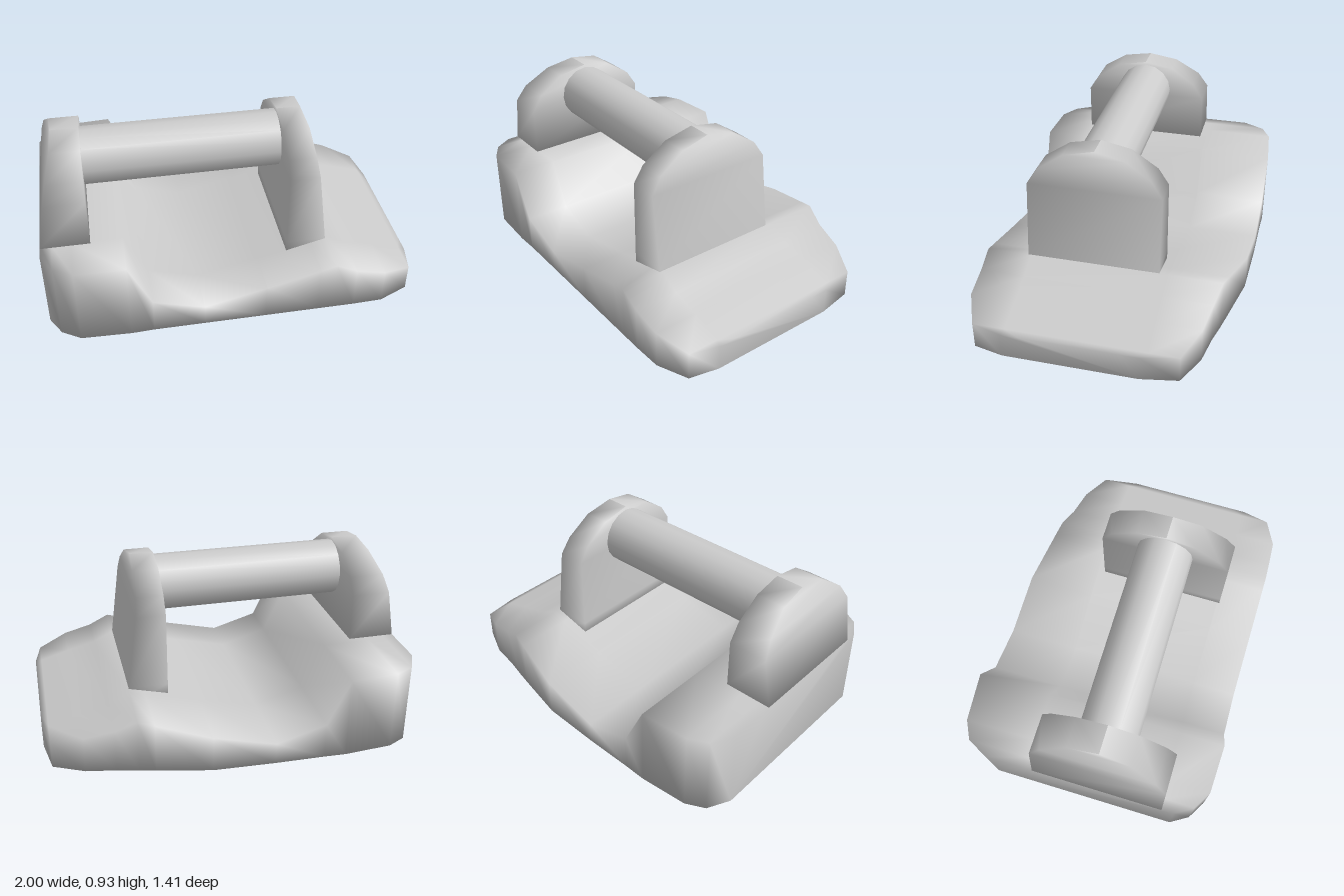
import * as THREE from 'three';

const material = new THREE.MeshStandardMaterial({ color: 0xcccccc });

// Skin a list of closed rings into one smooth, capped solid
function loft(name, rings) {
  const n = rings[0].length, last = rings.length - 1;
  const pos = rings.flat(2), index = [];
  for (let s = 0; s < last; s++) {
    for (let i = 0; i < n; i++) {
      const a = s * n + i, b = s * n + (i + 1) % n;
      index.push(a, b, b + n, a, b + n, a + n);
    }
  }
  for (let i = 1; i < n - 1; i++) {
    index.push(0, i + 1, i);
    index.push(last * n, last * n + i, last * n + i + 1);
  }
  const g = new THREE.BufferGeometry();
  g.setAttribute('position', new THREE.Float32BufferAttribute(pos, 3));
  g.setIndex(index);
  g.computeVertexNormals();
  const mesh = new THREE.Mesh(g, material);
  mesh.name = name;
  return mesh;
}

// Upright support: rows of [y, inner/outer x low, x high, half depth]
function support(name, rows) {
  const zc = 0.103;
  return loft(name, rows.map(([y, x0, x1, w]) => [
    [x0, y, zc - w], [x0, y, zc + w], [x1, y, zc + w], [x1, y, zc - w],
  ]));
}

export function createModel() {
  const group = new THREE.Group();

  // Base slab: stations of [x, top height, back z, front z]
  const stations = [
    [-1, 0.45, -0.52, 0.53], [-0.94, 0.45, -0.64, 0.63], [-0.84, 0.45, -0.69, 0.69],
    [-0.575, 0.45, -0.71, 0.7], [-0.455, 0.2, -0.705, 0.695], [-0.185, 0.12, -0.7, 0.695],
    [0.15, 0.2, -0.685, 0.695], [0.44, 0.275, -0.62, 0.695], [0.525, 0.297, -0.6, 0.695],
    [0.64, 0.24, -0.57, 0.695], [0.8, 0.2, -0.54, 0.69], [0.965, 0.15, -0.46, 0.62],
    [1, 0.14, -0.26, 0.46],
  ];
  group.add(loft('base', stations.map(([x, h, z0, z1]) => [
    [x, 0, z0], [x, h, z0], [x, h, Math.max(z0 + 0.1, -0.3)],
    [x, h, Math.min(z1 - 0.1, 0.45)], [x, h, z1], [x, 0, z1],
  ])));

  // Two rounded supports with sloping outer faces
  group.add(support('rightSupport', [
    [0.45, -1, -0.742, 0.362], [0.715, -0.955, -0.742, 0.362], [0.803, -0.935, -0.742, 0.305],
    [0.898, -0.9, -0.742, 0.165], [0.928, -0.89, -0.742, 0],
  ]));
  group.add(support('leftSupport', [
    [0.2, 0.305, 0.522, 0.362], [0.3, 0.305, 0.52, 0.362], [0.715, 0.305, 0.465, 0.362],
    [0.803, 0.305, 0.455, 0.305], [0.898, 0.305, 0.446, 0.165], [0.932, 0.305, 0.435, 0],
  ]));

  // Round grip between the supports
  const grip = new THREE.Mesh(new THREE.CylinderGeometry(0.156, 0.156, 1.07, 16), material);
  grip.name = 'grip';
  grip.rotation.z = Math.PI / 2;
  grip.position.set(-0.218, 0.755, 0.103);
  group.add(grip);

  return group;
}
